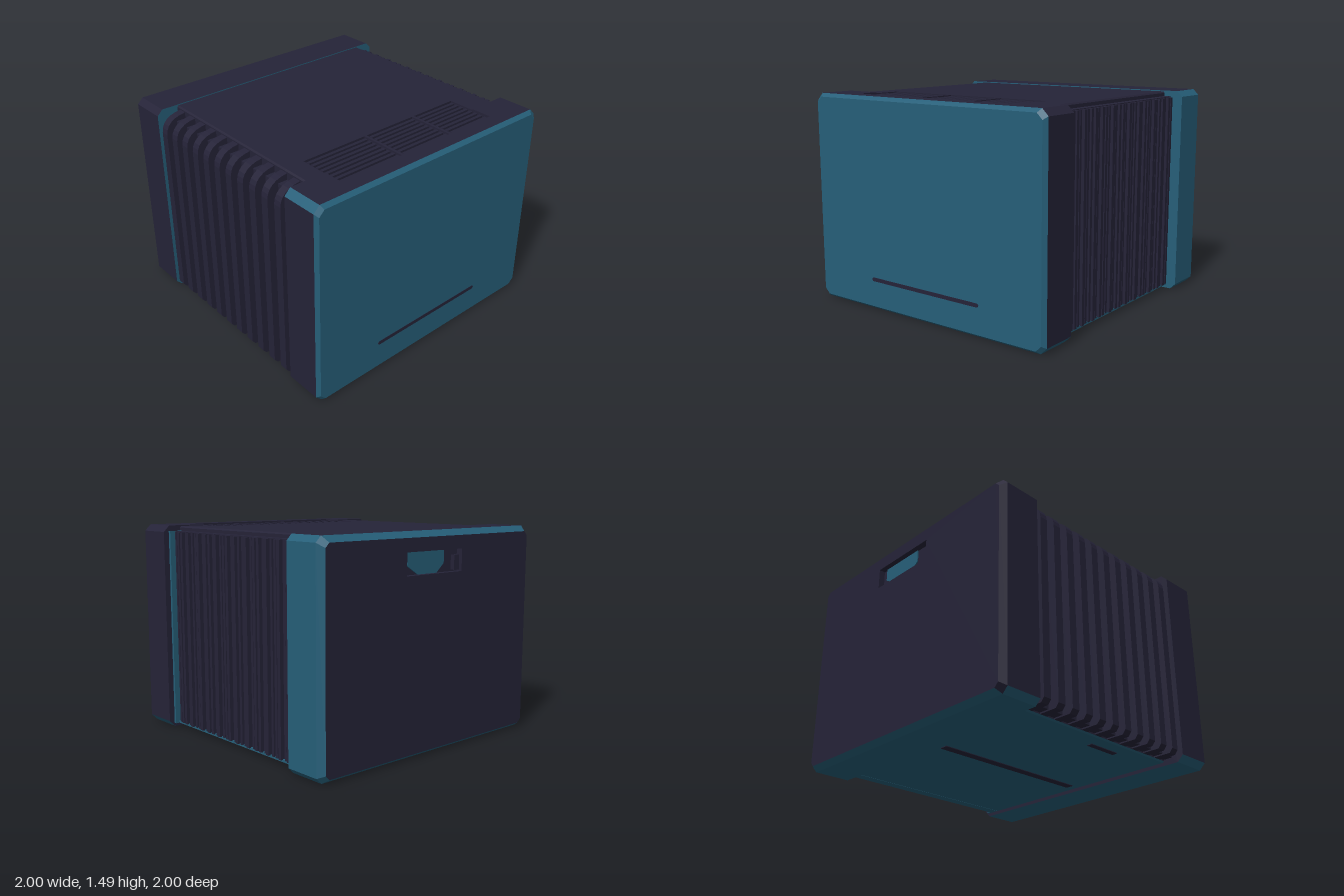
import * as THREE from 'three';

const dark = new THREE.MeshStandardMaterial({ color: 0x252338 });
dark.name = 'dark casing';
const teal = new THREE.MeshStandardMaterial({ color: 0x265f79 });
teal.name = 'teal panel';

// Vent opening in the top: x range, z range and floor height
const VENT = { x0: -0.69, x1: 0.65, z0: 0.51, z1: 0.86, floor: 1.455 };

// Chamfered rectangle, counter-clockwise seen from +z, optionally notched for the vent
function section(x0, x1, y0, y1, c, notch = false) {
  const pts = [[x0 + c, y0], [x1 - c, y0], [x1, y0 + c], [x1, y1 - c], [x1 - c, y1]];
  if (notch) {
    pts.push([VENT.x1, y1], [VENT.x1, VENT.floor], [VENT.x0, VENT.floor], [VENT.x0, y1]);
  }
  pts.push([x0 + c, y1], [x0, y1 - c], [x0, y0 + c]);
  return pts.map(([x, y]) => new THREE.Vector2(x, y));
}

// Flat-faced solid through sections of rising z; isTeal(normal) picks each face's colour
function loft(name, layers, isTeal) {
  const faces = [[], []];
  const add = (a, b, c) => {
    const n = b.clone().sub(a).cross(c.clone().sub(a)).normalize();
    for (const v of [a, b, c]) faces[isTeal(n) ? 1 : 0].push(v.x, v.y, v.z);
  };
  const at = (p, z) => new THREE.Vector3(p.x, p.y, z);
  for (let k = 0; k + 1 < layers.length; k++) {
    const [z0, s0] = layers[k];
    const [z1, s1] = layers[k + 1];
    s0.forEach((p, i) => {
      const j = (i + 1) % s0.length;
      const a = at(p, z0), b = at(s0[j], z0), c = at(s1[j], z1), d = at(s1[i], z1);
      add(a, b, c);
      add(a, c, d);
    });
  }
  for (const [[z, s], front] of [[layers[0], false], [layers[layers.length - 1], true]]) {
    for (const [i, j, k] of THREE.ShapeUtils.triangulateShape(s, [])) {
      const t = [at(s[i], z), at(s[j], z), at(s[k], z)];
      if (!front) t.reverse();
      add(...t);
    }
  }
  const geo = new THREE.BufferGeometry();
  geo.setAttribute('position', new THREE.Float32BufferAttribute(faces.flat(), 3));
  geo.addGroup(0, faces[0].length / 3, 0);
  geo.addGroup(faces[0].length / 3, faces[1].length / 3, 1);
  geo.computeVertexNormals();
  const mesh = new THREE.Mesh(geo, [dark, teal]);
  mesh.name = name;
  return mesh;
}

// Box given by its ranges
function box(name, x0, x1, y0, y1, z0, z1, mat = dark) {
  const m = new THREE.Mesh(new THREE.BoxGeometry(x1 - x0, y1 - y0, z1 - z0), mat);
  m.position.set((x0 + x1) / 2, (y0 + y1) / 2, (z0 + z1) / 2);
  m.name = name;
  return m;
}

function extrude(name, shape, depth, z, mat = dark) {
  const m = new THREE.Mesh(new THREE.ExtrudeGeometry(shape, { depth, bevelEnabled: false, curveSegments: 6 }), mat);
  m.position.z = z;
  m.name = name;
  return m;
}

export function createModel() {
  const model = new THREE.Group();
  model.name = 'casing';

  // Main body between the two end frames
  const bodyTeal = n => n.y < -0.5;
  const body = notch => section(-0.84, 0.855, 0.03, 1.483, 0.01, notch);
  model.add(loft('body', [[-0.7, body()], [VENT.z0, body()]], bodyTeal));
  model.add(loft('bodyVentPart', [[VENT.z0, body(true)], [0.715, body(true)]], bodyTeal));

  // Front frame: teal face, underside and upper corner, dark flanks
  const frontTeal = n => n.z > 0.3 || n.y < -0.3 || (n.x < -0.4 && n.y > 0.4);
  const frame = notch => section(-1, 0.99, 0.005, 1.49, 0.045, notch);
  model.add(loft('frontFrameVentPart', [[0.71, frame(true)], [VENT.z1, frame(true)]], frontTeal));
  model.add(loft('frontFrame', [
    [VENT.z1, frame()], [0.972, frame()], [0.998, section(-0.98, 0.965, 0.025, 1.465, 0.04)],
  ], frontTeal));
  model.add(box('frontInnerStrip', 0.85, 0.95, 0.03, 1.45, 0.69, 0.71, teal));

  // Narrow slot low on the front
  const slot = new THREE.Shape();
  slot.moveTo(-0.47, 0.208).lineTo(0.47, 0.208).lineTo(0.48, 0.222).lineTo(0.47, 0.235);
  slot.lineTo(-0.47, 0.235).lineTo(-0.48, 0.222).closePath();
  model.add(extrude('frontSlot', slot, 0.004, 0.996));

  // Back frame: teal right flank, underside and upper rear edge
  const backTeal = n => n.x > 0.4 || n.y < -0.3 || n.z > 0.5 || (n.z < -0.3 && n.y > 0.3);
  const backFrame = section(-1, 0.995, 0.005, 1.49, 0.04);
  const backInset = section(-0.97, 0.96, 0.035, 1.45, 0.03);
  model.add(loft('backFrame', [[-0.955, backFrame], [-0.69, backFrame]], backTeal));

  // Rear bevel ring, built without its caps by covering them with the rear plate
  const ring = [];
  backInset.forEach((p, i) => {
    const j = (i + 1) % backInset.length;
    const a = [p.x, p.y, -1], b = [backInset[j].x, backInset[j].y, -1];
    const c = [backFrame[j].x, backFrame[j].y, -0.955], d = [backFrame[i].x, backFrame[i].y, -0.955];
    ring.push([a, b, c, a, c, d]);
  });
  ring.forEach((quad, i) => {
    const geo = new THREE.BufferGeometry();
    geo.setAttribute('position', new THREE.Float32BufferAttribute(quad.flat(), 3));
    geo.computeVertexNormals();
    const edge = new THREE.Mesh(geo, i <= 4 ? teal : dark);
    edge.name = 'rearBevel';
    model.add(edge);
  });

  // Rear plate with a finger recess and its teal latch
  const rear = new THREE.Shape(backInset);
  const hole = new THREE.Path();
  hole.moveTo(-0.25, 1.21).lineTo(-0.25, 1.36).lineTo(0.28, 1.36).lineTo(0.28, 1.21).closePath();
  rear.holes.push(hole);
  model.add(extrude('rearPlate', rear, 0.05, -1));
  const latch = new THREE.Shape();
  latch.moveTo(-0.04, 1.21).lineTo(0.14, 1.21).lineTo(0.24, 1.27).lineTo(0.24, 1.36);
  latch.lineTo(-0.11, 1.36).lineTo(-0.11, 1.27).closePath();
  model.add(extrude('rearLatch', latch, 0.008, -0.963, teal));
  model.add(box('rearCatch', -0.24, -0.19, 1.22, 1.32, -0.985, -0.95));

  // Coarse cooling fins on the -x side, rounded at the top
  model.add(box('coarseFinBase', -0.91, -0.83, 0.05, 1.42, -0.69, 0.71));
  const fin = new THREE.Shape();
  fin.moveTo(-0.84, 0.04).lineTo(-0.97, 0.04).lineTo(-0.995, 0.07).lineTo(-0.995, 1.34);
  fin.quadraticCurveTo(-0.99, 1.45, -0.84, 1.465).closePath();
  for (let i = 0; i < 11; i++) {
    model.add(extrude('coarseFin', fin, 0.06, -0.655 + i * 0.1255));
  }

  // Fine vertical ribs on the +x side, slightly uneven
  model.add(box('fineRibBase', 0.85, 0.908, 0.05, 1.45, -0.69, 0.69));
  for (let i = 0; i < 32; i++) {
    const z = -0.67 + i * 0.0425;
    const wobble = Math.sin(i * 2.4);
    model.add(box('fineRib', 0.9, 0.93 + 0.007 * wobble, 0.045, 1.445, z, z + 0.024 + 0.005 * wobble));
  }
  model.add(box('ribLowerTrim', 0.85, 0.92, 0.03, 0.05, -0.69, 0.69, teal));

  // Louvres in the top vent: three panels of slats with dividers
  const bays = [[VENT.x0, -0.18], [-0.16, 0.26], [0.28, VENT.x1]];
  bays.forEach(([x0, x1]) => {
    for (let i = 0; i < 8; i++) {
      const z = VENT.z0 + 0.015 + i * 0.0425;
      model.add(box('ventSlat', x0 + 0.01, x1 - 0.01, VENT.floor - 0.01, 1.478, z, z + 0.024));
    }
  });
  for (const x of [-0.18, 0.26]) {
    model.add(box('ventDivider', x, x + 0.02, VENT.floor - 0.01, 1.483, VENT.z0, VENT.z1));
  }

  // Underside slots
  model.add(box('undersideSlot', -0.05, 0.01, 0.025, 0.032, -0.6, 0.64));
  model.add(box('undersideNotch', -0.74, -0.7, 0.025, 0.032, 0.06, 0.32));

  return model;
}
